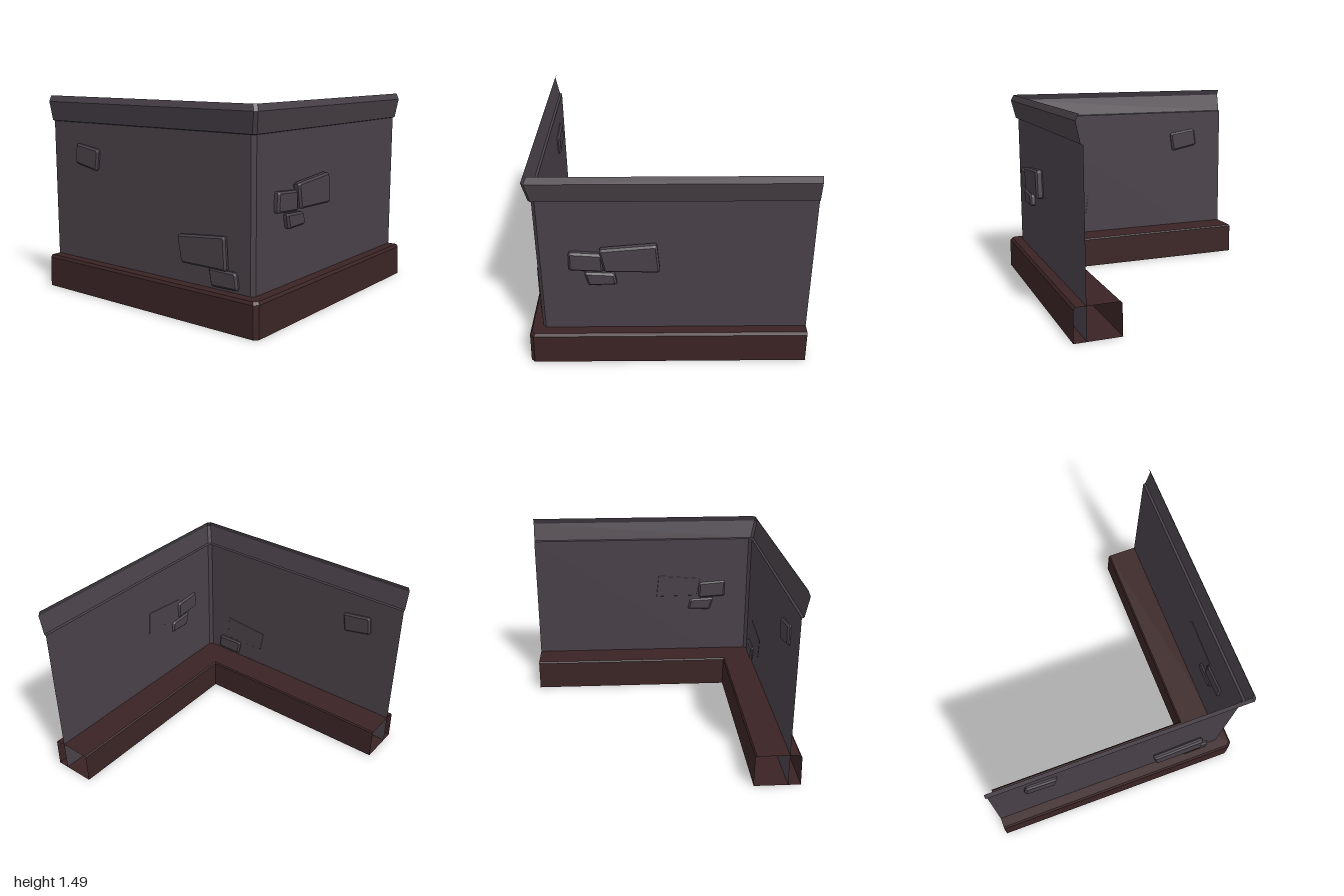
import * as THREE from 'three';

const stone = new THREE.MeshStandardMaterial({ color: 0x484047, side: THREE.DoubleSide, flatShading: true });
stone.name = 'grey stone';
const plinth = new THREE.MeshStandardMaterial({ color: 0x3a2324, side: THREE.DoubleSide, flatShading: true });
plinth.name = 'dark red brown';

// Sweeps a profile of [distance from centre, height, corner chamfer] around the L-shaped corner.
function sweepCorner(name, profile, material) {
  const rows = profile.map(([d, y, c]) => [
    [1, y, d], [-d + c, y, d], [-d, y, d - c], [-d, y, -1],
  ]);
  const pos = [];
  for (let i = 0; i < rows.length - 1; i++) {
    for (let j = 0; j < 3; j++) {
      const a = rows[i][j], b = rows[i][j + 1], c = rows[i + 1][j + 1], d = rows[i + 1][j];
      pos.push(...a, ...d, ...b, ...b, ...d, ...c);
    }
  }
  const geo = new THREE.BufferGeometry();
  geo.setAttribute('position', new THREE.Float32BufferAttribute(pos, 3));
  geo.computeVertexNormals();
  const mesh = new THREE.Mesh(geo, material);
  mesh.name = name;
  return mesh;
}

// Bevelled block with rounded corners, set through the wall between two distances.
function block(name, corners, back, front) {
  const pts = corners.map(([u, v]) => new THREE.Vector2(u, v));
  const shape = new THREE.Shape();
  const n = pts.length, r = 0.022;
  pts.forEach((p, i) => {
    const toward = (q) => p.clone().add(q.clone().sub(p).setLength(r));
    const a = toward(pts[(i + n - 1) % n]), b = toward(pts[(i + 1) % n]);
    if (i === 0) shape.moveTo(a.x, a.y);
    else shape.lineTo(a.x, a.y);
    shape.quadraticCurveTo(p.x, p.y, b.x, b.y);
  });
  shape.closePath();
  const bevel = 0.014;
  const geo = new THREE.ExtrudeGeometry(shape, {
    depth: front - back - 2 * bevel, curveSegments: 3,
    bevelEnabled: true, bevelThickness: bevel, bevelSize: bevel, bevelOffset: -bevel, bevelSegments: 1,
  });
  geo.translate(0, 0, back + bevel);
  const mesh = new THREE.Mesh(geo, stone);
  mesh.name = name;
  return mesh;
}

export function createModel() {
  const model = new THREE.Group();
  model.name = 'cornerWall';

  // Thin wall sheet and the flared cornice above it
  model.add(sweepCorner('wall', [[0.905, 0, 0.025], [0.905, 1.29, 0.025]], stone));
  model.add(sweepCorner('cornice', [
    [0.905, 1.29, 0.025], [0.922, 1.295, 0.022], [0.952, 1.44, 0.02], [0.932, 1.485, 0.02],
  ], stone));

  // Hollow plinth, open at both ends
  model.add(sweepCorner('plinth', [
    [0.655, 0, 0], [0.998, 0, 0.028], [0.992, 0.225, 0.028], [0.978, 0.245, 0.026],
    [0.668, 0.245, 0], [0.658, 0.235, 0], [0.655, 0, 0],
  ], plinth));

  // Blocks on the front wall (x, y)
  const frontBlocks = new THREE.Group();
  frontBlocks.name = 'frontBlocks';
  frontBlocks.add(
    block('largeBlock', [[-0.472, 0.937], [-0.075, 0.972], [-0.053, 0.75], [-0.44, 0.757]], 0.903, 0.962),
    block('sideBlock', [[-0.682, 0.905], [-0.45, 0.888], [-0.445, 0.745], [-0.685, 0.76]], 0.891, 0.943),
    block('lowerBlock', [[-0.58, 0.743], [-0.37, 0.732], [-0.352, 0.638], [-0.552, 0.633]], 0.891, 0.943),
  );
  model.add(frontBlocks);

  // Blocks on the side wall (z, y), turned to face outward
  const sideBlocks = new THREE.Group();
  sideBlocks.name = 'sideBlocks';
  sideBlocks.add(
    block('upperBlock', [[-0.495, 1.1], [-0.735, 1.135], [-0.754, 0.985], [-0.518, 0.938]], 0.882, 0.932),
    block('largeBlock', [[0.695, 0.622], [0.28, 0.583], [0.315, 0.388], [0.71, 0.388]], 0.903, 0.948),
    block('lowerBlock', [[0.777, 0.387], [0.543, 0.39], [0.565, 0.263], [0.792, 0.267]], 0.882, 0.932),
  );
  sideBlocks.rotation.y = -Math.PI / 2;
  model.add(sideBlocks);

  return model;
}
